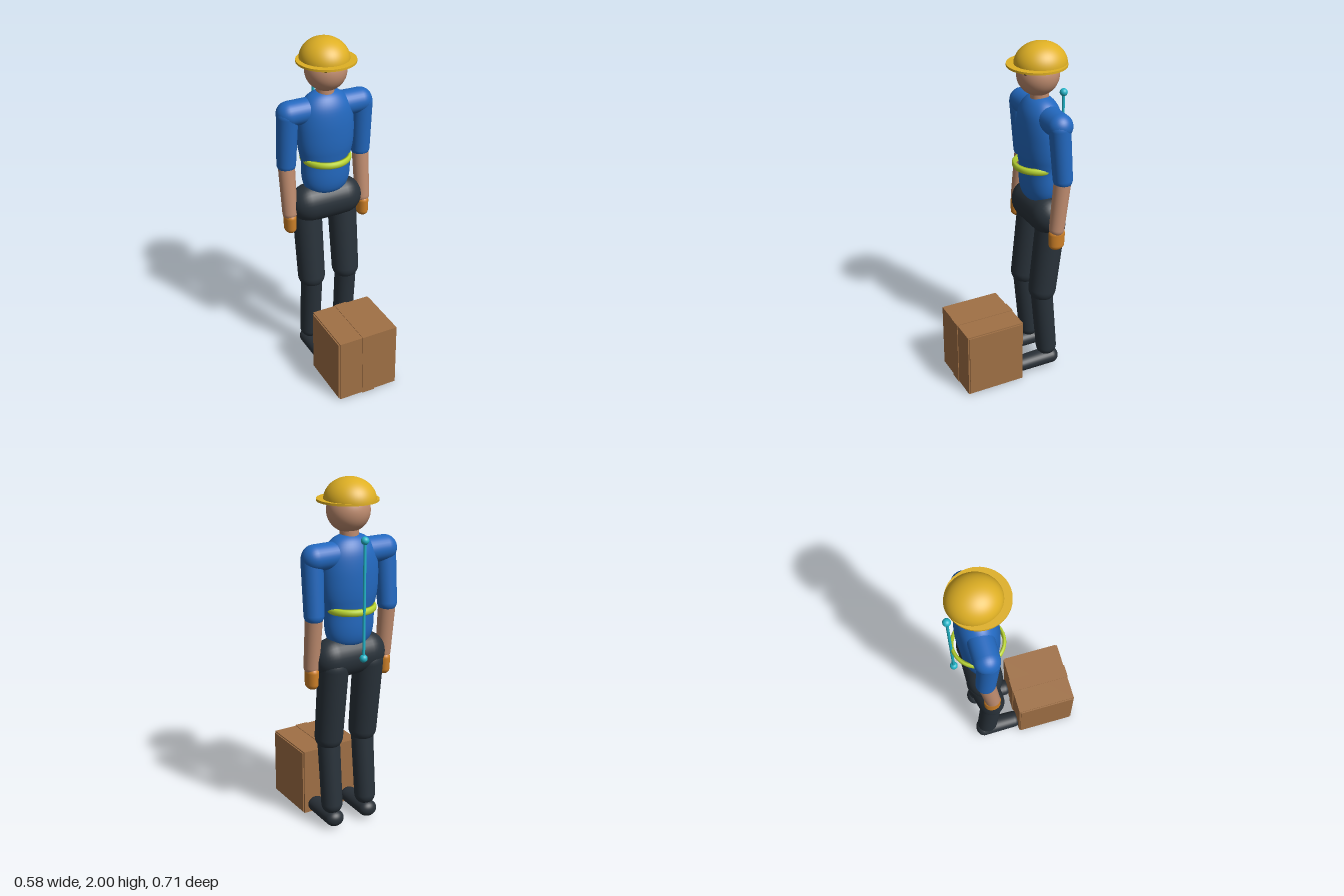
import * as THREE from 'three';

const material = (name, color, side = THREE.FrontSide) => {
  const m = new THREE.MeshStandardMaterial({ color, side });
  m.name = name;
  return m;
};

export function createModel() {
  const model = new THREE.Group();
  model.name = 'worker';

  const yellow = material('helmet yellow', 0xdfb024);
  const skin = material('skin', 0xc08d70);
  const blue = material('shirt blue', 0x2369c0);
  const dark = material('trouser charcoal', 0x29323a);
  const shoeDark = material('shoe charcoal', 0x293037);
  const lime = material('belt lime', 0xbcd832);
  const orange = material('glove orange', 0xcf8128);
  const cyan = material('rod cyan', 0x22b5c8);
  const black = material('eye black', 0x14171a);
  const brown = material('cardboard', 0xa07045);

  const add = (name, geometry, mat, x = 0, y = 0, z = 0) => {
    const mesh = new THREE.Mesh(geometry, mat);
    mesh.name = name;
    mesh.position.set(x, y, z);
    model.add(mesh);
    return mesh;
  };
  const lathe = (points, segments = 48) =>
    new THREE.LatheGeometry(points.map(([r, y]) => new THREE.Vector2(r, y)), segments);

  // Round-ended limb between two points, with a radius at each end
  const limb = (name, a, b, ra, rb, mat) => {
    const from = new THREE.Vector3(...a), to = new THREE.Vector3(...b);
    const length = from.distanceTo(to), points = [], steps = 10;
    for (let i = 0; i <= steps; i++) {
      const t = (i / steps - 1) * Math.PI / 2;
      points.push([ra * Math.cos(t), ra * Math.sin(t)]);
    }
    for (let i = 0; i <= steps; i++) {
      const t = (i / steps) * Math.PI / 2;
      points.push([Math.max(0, rb * Math.cos(t)), length + rb * Math.sin(t)]);
    }
    const mesh = add(name, lathe(points, 32), mat, ...a);
    mesh.quaternion.setFromUnitVectors(new THREE.Vector3(0, 1, 0), to.sub(from).normalize());
    return mesh;
  };

  // Head, neck and helmet
  add('head', new THREE.SphereGeometry(0.117, 40, 28), skin, 0, 1.825, -0.172);
  add('neck', new THREE.CylinderGeometry(0.051, 0.051, 0.12, 32), skin, 0, 1.71, -0.182);
  const dome = add('helmetDome', new THREE.SphereGeometry(1, 48, 20, 0, Math.PI * 2, 0, Math.PI / 2),
    yellow, 0, 1.88, -0.187);
  dome.scale.set(0.137, 0.12, 0.147);
  add('helmetBrim', new THREE.CylinderGeometry(0.165, 0.165, 0.012, 56), yellow, 0, 1.88, -0.165);

  // Torso
  const curve = new THREE.SplineCurve([
    [0, 1.075], [0.06, 1.083], [0.11, 1.108], [0.135, 1.15], [0.145, 1.21], [0.146, 1.29],
    [0.153, 1.33], [0.163, 1.38], [0.168, 1.45], [0.165, 1.54], [0.147, 1.62],
    [0.105, 1.675], [0.05, 1.702], [0, 1.706],
  ].map(p => new THREE.Vector2(...p)));
  const profile = curve.getPoints(52).map(p => [Math.max(0, p.x), p.y]);
  const torso = add('torso', lathe(profile), blue, 0, 0, -0.185);
  torso.scale.z = 0.7;

  // Hollow belt band
  add('belt', lathe([
    [0.132, 1.285], [0.143, 1.287], [0.149, 1.294], [0.151, 1.305],
    [0.149, 1.316], [0.143, 1.323], [0.132, 1.325], [0.132, 1.285],
  ], 56), lime, 0, 0, -0.185).scale.x = 0.97;

  // Pelvis
  const pelvis = limb('pelvis', [-0.104, 1.028, -0.187], [0.104, 1.028, -0.187], 0.114, 0.114, dark);
  pelvis.scale.z = 0.9;

  for (const [side, s] of [['left', 1], ['right', -1]]) {
    // Eye
    add(side + 'Eye', new THREE.SphereGeometry(0.014, 16, 12), black, s * 0.048, 1.86, -0.074);

    // Arm
    const ax = s * 0.232;
    limb(side + 'Shoulder', [s * 0.1, 1.6, -0.19], [s * 0.216, 1.6, -0.19], 0.072, 0.071, blue);
    limb(side + 'Sleeve', [s * 0.228, 1.59, -0.183], [ax, 1.297, -0.207], 0.06, 0.055, blue);
    limb(side + 'Forearm', [ax, 1.29, -0.207], [ax, 1.0, -0.177], 0.048, 0.043, skin);
    const glove = limb(side + 'Glove', [ax, 0.968, -0.178], [ax, 0.903, -0.178], 0.036, 0.034, orange);
    glove.scale.z = 1.35;

    // Leg
    const lx = s * 0.112;
    limb(side + 'Thigh', [lx, 0.98, -0.206], [lx, 0.555, -0.159], 0.085, 0.08, dark);
    limb(side + 'Shin', [lx, 0.54, -0.155], [lx, 0.145, -0.192], 0.064, 0.061, dark);
    const shoe = limb(side + 'Shoe', [lx, 0.06, -0.22], [lx, 0.057, -0.022], 0.047, 0.044, shoeDark);
    shoe.scale.x = 1.18;
  }

  // Measuring rod behind the back
  add('rod', new THREE.CylinderGeometry(0.008, 0.008, 0.643, 20), cyan, 0, 1.3715, -0.333);
  for (const [name, y] of [['rodTop', 1.693], ['rodBottom', 1.05]])
    add(name, new THREE.SphereGeometry(0.022, 24, 16), cyan, 0, y, -0.333);

  // Carton with raised side panels and a centre strip
  add('carton', new THREE.BoxGeometry(0.36, 0.394, 0.35), brown, 0, 0.2, 0.176);
  add('cartonSidePanels', new THREE.BoxGeometry(0.375, 0.38, 0.333), brown, 0, 0.2, 0.176);
  add('cartonStrip', new THREE.BoxGeometry(0.078, 0.4, 0.358), brown, 0, 0.2, 0.176);

  return model;
}
